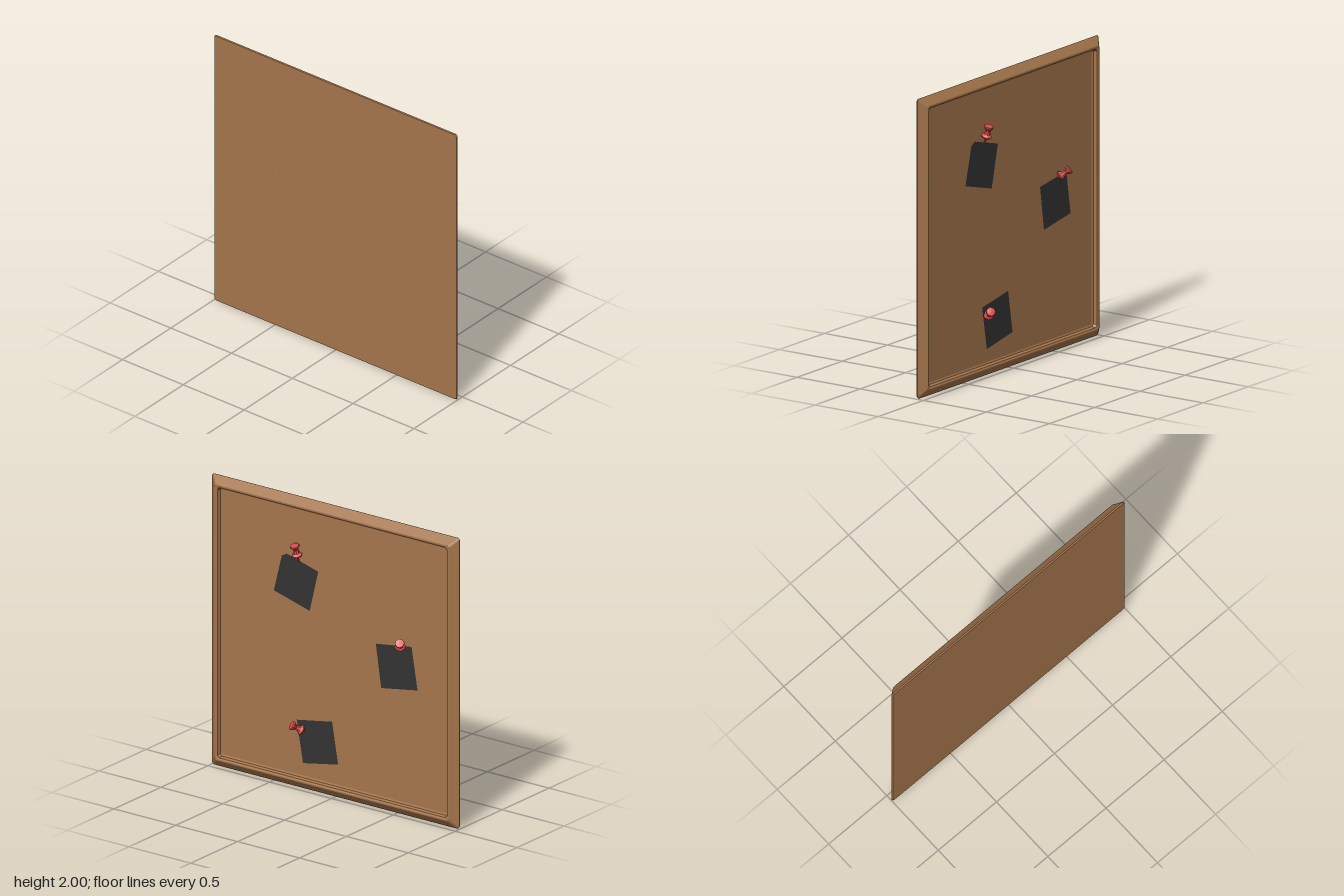
import * as THREE from 'three';

const wood = new THREE.MeshStandardMaterial({ color: 0xa5754c, flatShading: true });
const paper = new THREE.MeshStandardMaterial({ color: 0x333333, side: THREE.DoubleSide });
const red = new THREE.MeshStandardMaterial({ color: 0xd64c46, flatShading: true });

// Square ring with clipped corners, in the y-z plane
function ring([inset, x, cut]) {
  const h = 1 - inset, k = h - cut;
  return [[h, -k], [h, k], [k, h], [-k, h], [-h, k], [-h, -k], [-k, -h], [k, -h]]
    .map(([y, z]) => [x, y + 1, z]);
}

// Skin a run of rings, closing both ends with a flat face
function skinRings(profile) {
  const rings = profile.map(ring), pos = [];
  const cap = (r, flip) => {
    for (let j = 1; j < r.length - 1; j++) {
      pos.push(...r[0], ...(flip ? r[j + 1] : r[j]), ...(flip ? r[j] : r[j + 1]));
    }
  };
  cap(rings[0], true);
  for (let i = 0; i < rings.length - 1; i++) {
    const a = rings[i], b = rings[i + 1];
    for (let j = 0; j < a.length; j++) {
      const k = (j + 1) % a.length;
      pos.push(...a[j], ...a[k], ...b[k], ...a[j], ...b[k], ...b[j]);
    }
  }
  cap(rings[rings.length - 1], false);
  const geo = new THREE.BufferGeometry();
  geo.setAttribute('position', new THREE.Float32BufferAttribute(pos, 3));
  geo.computeVertexNormals();
  return geo;
}

export function createModel() {
  const model = new THREE.Group();
  model.name = 'pinBoard';

  // Board: back, bevelled frame and recessed panel; each entry is inset, x, corner cut
  const board = new THREE.Mesh(skinRings([
    [0.004, -0.055, 0.012], [0, -0.046, 0.012], [0.052, -0.001, 0.012], [0.06, 0, 0.012],
    [0.072, -0.006, 0.014], [0.078, -0.03, 0.014], [0.09, -0.035, 0.014],
  ]), wood);
  board.name = 'board';
  model.add(board);

  // Paper notes: corners as z, y
  const notes = [
    [[0.425, 1.567], [0.385, 1.587], [0.131, 1.52], [0.2, 1.235], [0.49, 1.312]],
    [[-0.335, 1.13], [-0.624, 1.173], [-0.672, 0.884], [-0.378, 0.835]],
    [[0.305, 0.464], [0.019, 0.514], [-0.03, 0.23], [0.254, 0.177]],
  ];
  notes.forEach((corners, i) => {
    const shape = new THREE.Shape(corners.map(([z, y]) => new THREE.Vector2(-z, y)));
    const note = new THREE.Mesh(new THREE.ShapeGeometry(shape), paper);
    note.rotation.y = Math.PI / 2;
    note.position.x = -0.031;
    note.name = 'note' + (i + 1);
    model.add(note);
  });

  // Push pins: needle, flared base, waist and head, origin at the head
  const pinGeo = new THREE.LatheGeometry([
    [0, -0.132], [0.006, -0.122], [0.006, -0.08], [0.031, -0.08], [0.036, -0.07],
    [0.022, -0.058], [0.015, -0.03], [0.032, -0.008], [0.03, 0.002], [0, 0.006],
  ].map(([r, y]) => new THREE.Vector2(r, y)), 8);
  const pins = [
    { at: [0.012, 1.675, 0.29], dir: [0.3, 0.95, 0.05] },
    { at: [0.032, 1.205, -0.575], dir: [0.68, 0.58, -0.45] },
    { at: [0.032, 0.445, 0.297], dir: [0.66, 0.5, 0.55] },
  ];
  const up = new THREE.Vector3(0, 1, 0);
  pins.forEach(({ at, dir }, i) => {
    const pin = new THREE.Mesh(pinGeo, red);
    pin.position.set(...at);
    pin.quaternion.setFromUnitVectors(up, new THREE.Vector3(...dir).normalize());
    pin.name = 'pushPin' + (i + 1);
    model.add(pin);
  });

  return model;
}
